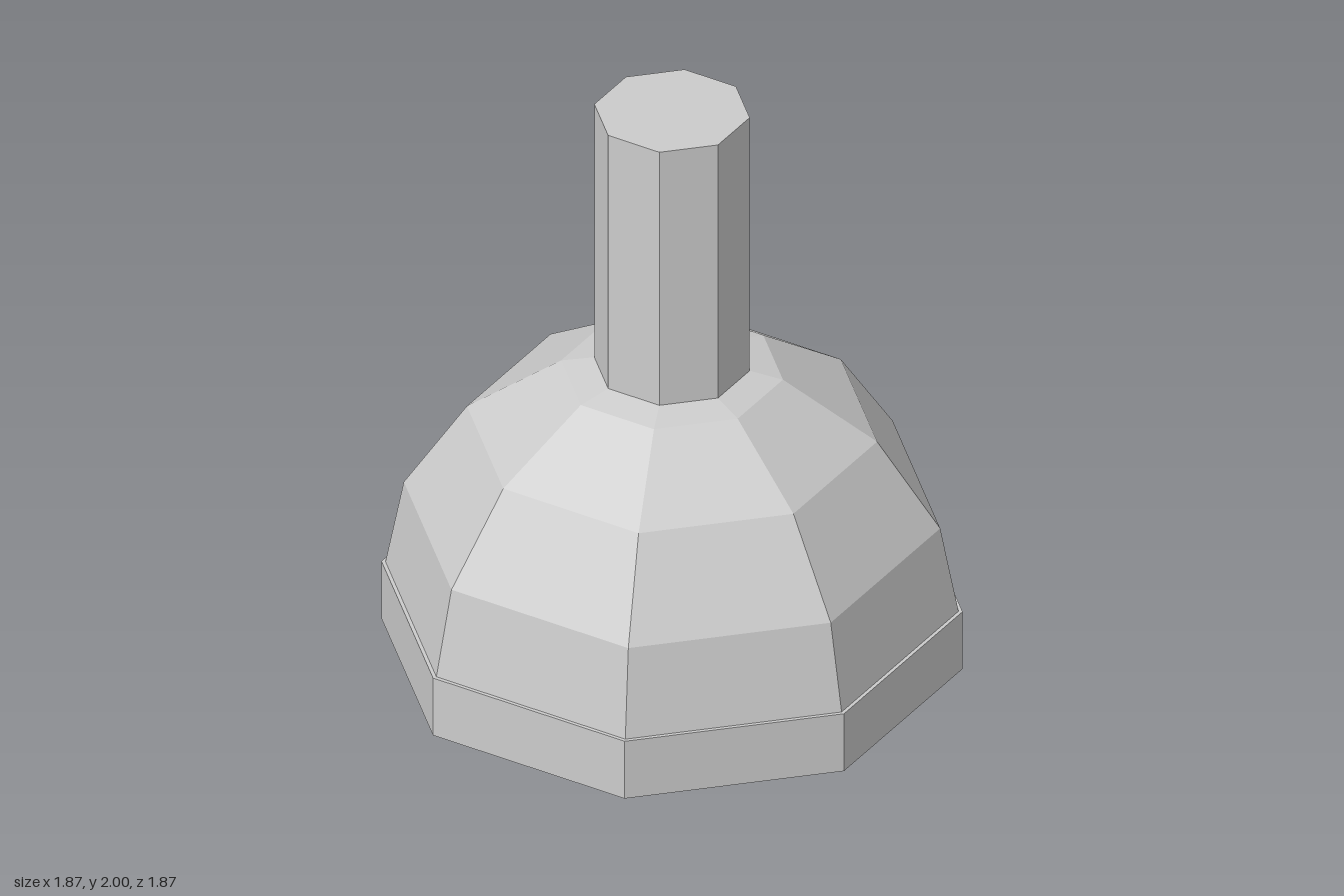
import * as THREE from 'three';

const SIDES = 8;

export function createModel() {
  const group = new THREE.Group();
  const material = new THREE.MeshStandardMaterial({ color: 0xcccccc, flatShading: true });

  const add = (name, geometry, y = 0) => {
    const mesh = new THREE.Mesh(geometry, material);
    mesh.name = name;
    mesh.position.y = y;
    group.add(mesh);
  };

  // Flat octagonal rim at the bottom
  const rimHeight = 0.215;
  add('baseRim', new THREE.CylinderGeometry(0.935, 0.935, rimHeight, SIDES), rimHeight / 2);

  // Faceted dome, slightly inset from the rim and closing under the handle
  const profile = [
    [0.922, rimHeight], [0.863, 0.52], [0.66, 0.825], [0.357, 1.027], [0.25, 1.05], [0, 1.05],
  ].map(([r, y]) => new THREE.Vector2(r, y));
  add('dome', new THREE.LatheGeometry(profile, SIDES));

  // Straight octagonal handle
  const handleBottom = 1.05;
  const handleHeight = 2 - handleBottom;
  add('handle', new THREE.CylinderGeometry(0.25, 0.25, handleHeight, SIDES), handleBottom + handleHeight / 2);

  return group;
}
